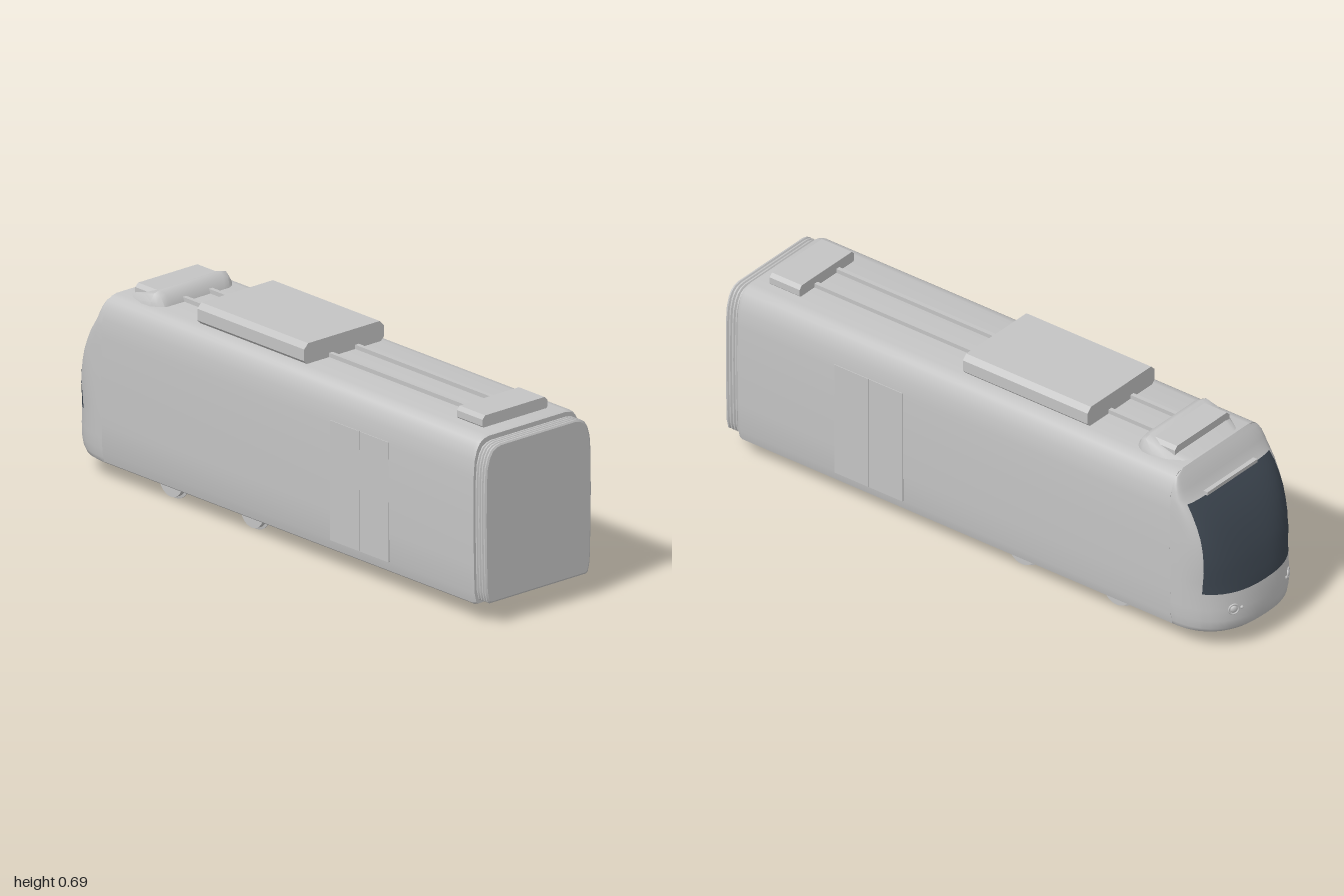
import * as THREE from 'three';
import { toCreasedNormals } from 'three/addons/utils/BufferGeometryUtils.js';

// Half cross-section of the car: [half width, height]
const SECTION = [[0.21, 0.06], [0.218, 0.066], [0.226, 0.1], [0.229, 0.2], [0.231, 0.35], [0.23, 0.49],
  [0.226, 0.545], [0.216, 0.58], [0.203, 0.601], [0.187, 0.612], [0.165, 0.617]];
const MID_Y = 0.3385;
const NOSE_Z = -0.79;

// Nose rows: [height, depth ahead of NOSE_Z, squareness of the plan curve]
const NOSE = [[0.06, 0.17, 2.4], [0.066, 0.19, 2.4], [0.08, 0.205, 2.4], [0.11, 0.21, 2.4], [0.15, 0.21, 2.4],
  [0.21, 0.205, 2.4], [0.25, 0.196, 2.6], [0.29, 0.186, 2.9], [0.33, 0.173, 3.2], [0.37, 0.156, 3.6],
  [0.41, 0.137, 4], [0.45, 0.114, 4.3], [0.49, 0.086, 4.7], [0.52, 0.06, 5], [0.535, 0.047, 5],
  [0.56, 0.034, 5], [0.58, 0.024, 5], [0.601, 0.011, 5], [0.617, 0, 5]];

function halfWidth(y) {
  for (let i = 1; i < SECTION.length; i++) {
    const [w0, y0] = SECTION[i - 1], [w1, y1] = SECTION[i];
    if (y <= y1) return w0 + (w1 - w0) * (y - y0) / (y1 - y0);
  }
  return SECTION[SECTION.length - 1][0];
}

function makeGeometry(positions, index) {
  const g = new THREE.BufferGeometry();
  g.setAttribute('position', new THREE.Float32BufferAttribute(positions, 3));
  g.setIndex(index);
  g.computeVertexNormals();
  return g;
}

// Closed loft through rings running towards +z, each counter-clockwise seen from +z
function loft(rings, crease = 0.6) {
  const n = rings[0].length, pos = rings.flat(2), index = [];
  for (let r = 0; r < rings.length - 1; r++) {
    for (let j = 0; j < n; j++) {
      const a = r * n + j, b = r * n + (j + 1) % n;
      index.push(a, b, b + n, a, b + n, a + n);
    }
  }
  const last = (rings.length - 1) * n;
  for (let j = 1; j < n - 1; j++) {
    index.push(0, j + 1, j, last, last + j, last + j + 1);
  }
  return toCreasedNormals(makeGeometry(pos, index), crease);
}

// Car cross-section at z, scaled about its middle
function carRing(z, sx = 1, sy = 1) {
  const side = SECTION.map(([x, y]) => [x * sx, MID_Y + (y - MID_Y) * sy, z]);
  return [...side, ...side.slice().reverse().map(([x, y]) => [-x, y, z])];
}

// Box with chamfered long edges, running along z
function chamferBox(w, y0, y1, z0, z1, c) {
  const ring = z => [[w - c, y0, z], [w, y0 + c, z], [w, y1 - c, z], [w - c, y1, z],
    [c - w, y1, z], [-w, y1 - c, z], [-w, y0 + c, z], [c - w, y0, z]];
  return loft([ring(z0), ring(z1)], 0.3);
}

function nosePoint(s, [y, depth, n]) {
  const d = depth * Math.pow(Math.max(0, 1 - Math.pow(Math.abs(s), n)), 1 / n);
  return [halfWidth(y) * s, y, NOSE_Z - d];
}

export function createModel() {
  const paint = new THREE.MeshStandardMaterial({ color: 0xc4c4c4 });
  paint.name = 'light grey paint';
  const glass = new THREE.MeshStandardMaterial({ color: 0x3c454f });
  glass.name = 'dark glass';

  const model = new THREE.Group();
  model.name = 'tramCar';
  const add = (name, geometry, material = paint, parent = model) => {
    const mesh = new THREE.Mesh(geometry, material);
    mesh.name = name;
    parent.add(mesh);
    return mesh;
  };
  const addBox = (name, w, h, d, x, y, z, material = paint) => {
    const mesh = add(name, new THREE.BoxGeometry(w, h, d), material);
    mesh.position.set(x, y, z);
    return mesh;
  };

  // Main shell
  add('body', loft([carRing(NOSE_Z), carRing(0.935), carRing(0.948, 0.985, 0.985)]));

  // Ribbed gangway at the coupling end
  const ribs = [carRing(0.94, 0.94, 0.92)];
  for (let i = 0; i < 4; i++) {
    const z = 0.95 + i * 0.0125;
    ribs.push(carRing(z, 0.945, 0.92), carRing(z + 0.004, 0.97, 0.94), carRing(z + 0.009, 0.97, 0.94));
  }
  ribs.push(carRing(1, 0.945, 0.92));
  add('gangwayBellows', loft(ribs, 0.4));

  // Rounded nose with the windscreen as part of the same surface
  const edge = Math.asin(0.9), columns = [];
  for (let i = 0; i < 8; i++) columns.push(-Math.PI / 2 + (Math.PI / 2 - edge) * i / 8);
  for (let i = 0; i <= 20; i++) columns.push(-edge + 2 * edge * i / 20);
  for (let i = 1; i <= 8; i++) columns.push(edge + (Math.PI / 2 - edge) * i / 8);
  const cols = columns.length, nosePos = [], shellIndex = [], screenIndex = [];
  NOSE.forEach((row, r) => columns.forEach((angle, c) => {
    nosePos.push(...nosePoint(Math.sin(angle), row));
    if (r === NOSE.length - 1 || c === cols - 1) return;
    const a = r * cols + c, d = a + cols;
    const isScreen = row[0] >= 0.21 && row[0] < 0.52 && c >= 8 && c < 28;
    (isScreen ? screenIndex : shellIndex).push(a, d, d + 1, a, d + 1, a + 1);
  }));
  const noseGeometry = makeGeometry(nosePos, [...shellIndex, ...screenIndex]);
  noseGeometry.addGroup(0, shellIndex.length, 0);
  noseGeometry.addGroup(shellIndex.length, screenIndex.length, 1);
  add('noseAndWindscreen', noseGeometry, [paint, glass]);

  // Flat underside of the nose
  const floorPos = [0, 0.06, NOSE_Z, ...nosePos.slice(0, cols * 3)], floorIndex = [];
  for (let c = 1; c < cols; c++) floorIndex.push(0, c, c + 1);
  add('noseFloor', makeGeometry(floorPos, floorIndex));

  // Strip above the windscreen
  addBox('windscreenStrip', 0.25, 0.012, 0.016, 0, 0.526, -0.849);

  // Headlamps: a ring and a lens on each side, with a small marker lamp
  for (const side of [-1, 1]) {
    const lamp = new THREE.Group();
    lamp.name = side > 0 ? 'leftHeadlamp' : 'rightHeadlamp';
    const [x, y, z] = nosePoint(side * 0.6, [0.15, 0.21, 2.4]);
    lamp.position.set(x, y, z);
    lamp.rotation.y = Math.PI - side * 0.52;
    add('lampRing', new THREE.TorusGeometry(0.017, 0.003, 8, 20), paint, lamp);
    add('lampLens', new THREE.SphereGeometry(0.012, 14, 8), paint, lamp).scale.z = 0.5;
    add('markerLamp', new THREE.SphereGeometry(0.006, 10, 6), paint, lamp).position.set(side * 0.028, 0, -0.003);
    model.add(lamp);
  }

  // Double sliding doors, nearly flush with each side
  for (const side of [-1, 1]) {
    for (const z of [0.349, 0.487]) {
      addBox('doorLeaf', 0.007, 0.4, 0.136, side * 0.2284, 0.3, z);
    }
  }

  // Roof equipment and the cable ducts joining it
  add('roofUnit', chamferBox(0.168, 0.612, 0.685, -0.41, 0.09, 0.017));
  add('rearRoofBox', chamferBox(0.137, 0.61, 0.656, 0.77, 0.89, 0.012));
  add('frontRoofBox', chamferBox(0.137, 0.61, 0.656, -0.735, -0.63, 0.012));
  for (const x of [-0.055, 0.055]) addBox('roofDuct', 0.015, 0.02, 1.38, x, 0.621, 0.09);

  // Streamlined hump around the front roof box: [z, half width, top]
  const hump = [[-0.79, 0.13, 0.615], [-0.72, 0.162, 0.634], [-0.67, 0.174, 0.648], [-0.63, 0.172, 0.661],
    [-0.61, 0.162, 0.653], [-0.588, 0.145, 0.62]];
  add('roofFairing', loft(hump.map(([z, w, top]) => {
    const half = [[w, 0.6, z], [w * 0.97, 0.6 + (top - 0.6) * 0.5, z],
      [w * 0.88, 0.6 + (top - 0.6) * 0.9, z], [w * 0.75, top, z]];
    return [...half, ...half.slice().reverse().map(([x, y]) => [-x, y, z])];
  }), 0.7));

  // Flanged wheels on axles
  for (const z of [-0.15, -0.53]) {
    const axle = add('axle', new THREE.CylinderGeometry(0.007, 0.007, 0.3, 10));
    axle.rotation.z = Math.PI / 2;
    axle.position.set(0, 0.061, z);
    for (const side of [-1, 1]) {
      const profile = [[0, -0.014], [0.054, -0.014], [0.0545, 0.003], [0.063, 0.005], [0.063, 0.008],
        [0.056, 0.013], [0, 0.013]].map(([r, h]) => new THREE.Vector2(r, h));
      const wheel = add('wheel', toCreasedNormals(new THREE.LatheGeometry(profile, 28), 0.5));
      wheel.rotation.z = side * Math.PI / 2;
      wheel.position.set(side * 0.158, 0.063, z);
    }
  }
  return model;
}
